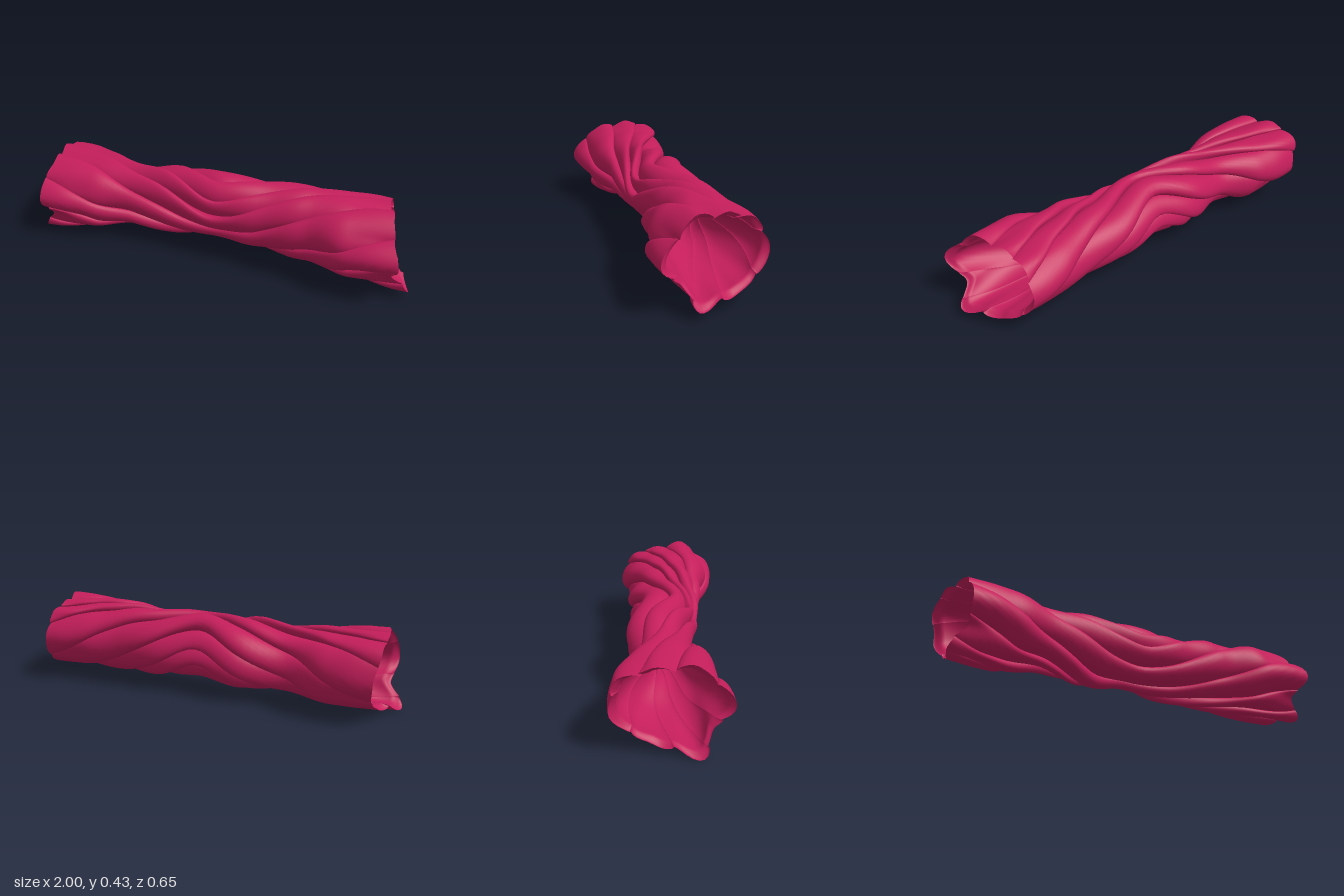
import * as THREE from 'three';

const TAU = Math.PI * 2;
const PLEATS = 8, ROWS = 80, COLS = 14;
const { lerp, smoothstep } = THREE.MathUtils;

// centre and half sizes of the section, at nine even stations from right to left
const SPINE = {
  y: [0.215, 0.215, 0.225, 0.232, 0.247, 0.235, 0.24, 0.24, 0.24],
  z: [-0.05, -0.055, -0.038, -0.055, -0.02, -0.018, 0.012, 0.043, 0.05],
  halfY: [0.2, 0.19, 0.158, 0.178, 0.165, 0.165, 0.18, 0.185, 0.185],
  halfZ: [0.26, 0.22, 0.148, 0.168, 0.152, 0.185, 0.195, 0.25, 0.27],
};
// radius and rim position at each end, every 30 degrees from +z towards +y
const RIGHT = {
  radius: [0.255, 0.22, 0.2, 0.185, 0.215, 0.28, 0.27, 0.225, 0.185, 0.18, 0.235, 0.19],
  rim: [0.95, 0.95, 0.93, 0.95, 0.97, 0.97, 0.94, 0.92, 0.93, 0.96, 1.0, 0.93],
};
const LEFT = {
  radius: [0.265, 0.215, 0.205, 0.17, 0.185, 0.235, 0.265, 0.24, 0.195, 0.18, 0.22, 0.19],
  rim: [0.96, 0.92, 0.9, 0.87, 0.85, 0.85, 0.86, 0.88, 0.92, 0.96, 1.0, 0.92],
};

// smooth lookup at t, wrapping round the table
function lookup(table, t) {
  const n = table.length, i = Math.floor(t), f = t - i;
  const at = (k) => table[((k % n) + n) % n];
  return lerp(at(i), at(i + 1), f * f * (3 - 2 * f));
}

// the folds turn the same way towards both ends
function twist(s) {
  const v = Math.sqrt(s * s + 0.006) - 0.077;
  return 3.0 * Math.tanh(v * 1.1);
}

// s runs along the roll (-1..1), f across one pleat (0..1);
// scale shrinks the section, fold sets how deep the creases are
function clothPoint(s, pleat, f, { scale, fold }) {
  const end = s < 0 ? RIGHT : LEFT;
  const m = Math.abs(s);
  const station = (s + 1) * 4;

  // rounded pleat that leans over its neighbour, some standing higher
  const hump = Math.pow(Math.max(0, Math.sin(Math.PI * f)), 0.65);
  const depth = 0.042 * (1 - 0.5 * m * m);
  const height = depth * (1.05 + 0.2 * Math.sin(pleat * 2.4 + 1 + s * 4) * (1 - 0.6 * m));
  const step = TAU / PLEATS;
  const base = (pleat + f) * step;
  const lean = 0.3 * step * hump * (1 - 0.4 * m);
  const a = base + 0.16 * Math.sin(base * 2 + 1) + lean + twist(s) - 0.9;

  // oval section that takes the shape of the rim near each end
  const sin = Math.sin(a), cos = Math.cos(a);
  const oval = 1 / Math.hypot(cos / lookup(SPINE.halfZ, station), sin / lookup(SPINE.halfY, station));
  const radius = lerp(oval, lookup(end.radius, a / TAU * 12), smoothstep(m, 0.6, 1));
  const r = (radius + 0.005 + fold * (height * hump - depth)) * scale;
  const x = s * lerp(0.94, lookup(end.rim, a / TAU * 12), Math.pow(m, 2.5));
  return [x, lookup(SPINE.y, station) + r * sin, lookup(SPINE.z, station) + r * cos];
}

// one long strip of cloth from end to end
function strip(pleat, styleAt) {
  const positions = [], indices = [];
  for (let i = 0; i <= ROWS; i++) {
    // rows bunch up towards the rims
    const s = Math.sin(((i / ROWS) * 2 - 1) * Math.PI / 2);
    for (let j = 0; j <= COLS; j++) {
      // samples bunch up near the creases
      const f = 0.5 - 0.5 * Math.cos((j / COLS) * Math.PI);
      positions.push(...clothPoint(s, pleat, f, styleAt(s)));
      if (i < ROWS && j < COLS) {
        const a = i * (COLS + 1) + j, b = a + COLS + 1;
        indices.push(a, b, a + 1, b, b + 1, a + 1);
      }
    }
  }
  const geometry = new THREE.BufferGeometry();
  geometry.setAttribute('position', new THREE.Float32BufferAttribute(positions, 3));
  geometry.setIndex(indices);
  geometry.computeVertexNormals();
  return geometry;
}

export function createModel() {
  const model = new THREE.Group();
  model.name = 'twistedClothRoll';
  const cloth = new THREE.MeshStandardMaterial({ color: 0xc41e5a, side: THREE.DoubleSide });

  const add = (name, styleAt) => {
    const group = new THREE.Group();
    group.name = name;
    for (let p = 0; p < PLEATS; p++) {
      const mesh = new THREE.Mesh(strip(p, styleAt), cloth);
      mesh.name = name + 'Pleat' + (p + 1);
      group.add(mesh);
    }
    model.add(group);
  };

  add('outerCloth', () => ({ scale: 1, fold: 1 }));

  // smooth lining: a rolled lip at each rim, then a funnel to a narrow hole
  add('innerLining', (s) => {
    const m = Math.abs(s);
    const lip = smoothstep(m, 0.96, 1);
    const funnel = lerp(0.46, 0.87, smoothstep(m, 0.45, 0.96));
    return { scale: lerp(funnel, 1, lip), fold: lerp(0.3, 1, lip) };
  });
  return model;
}
